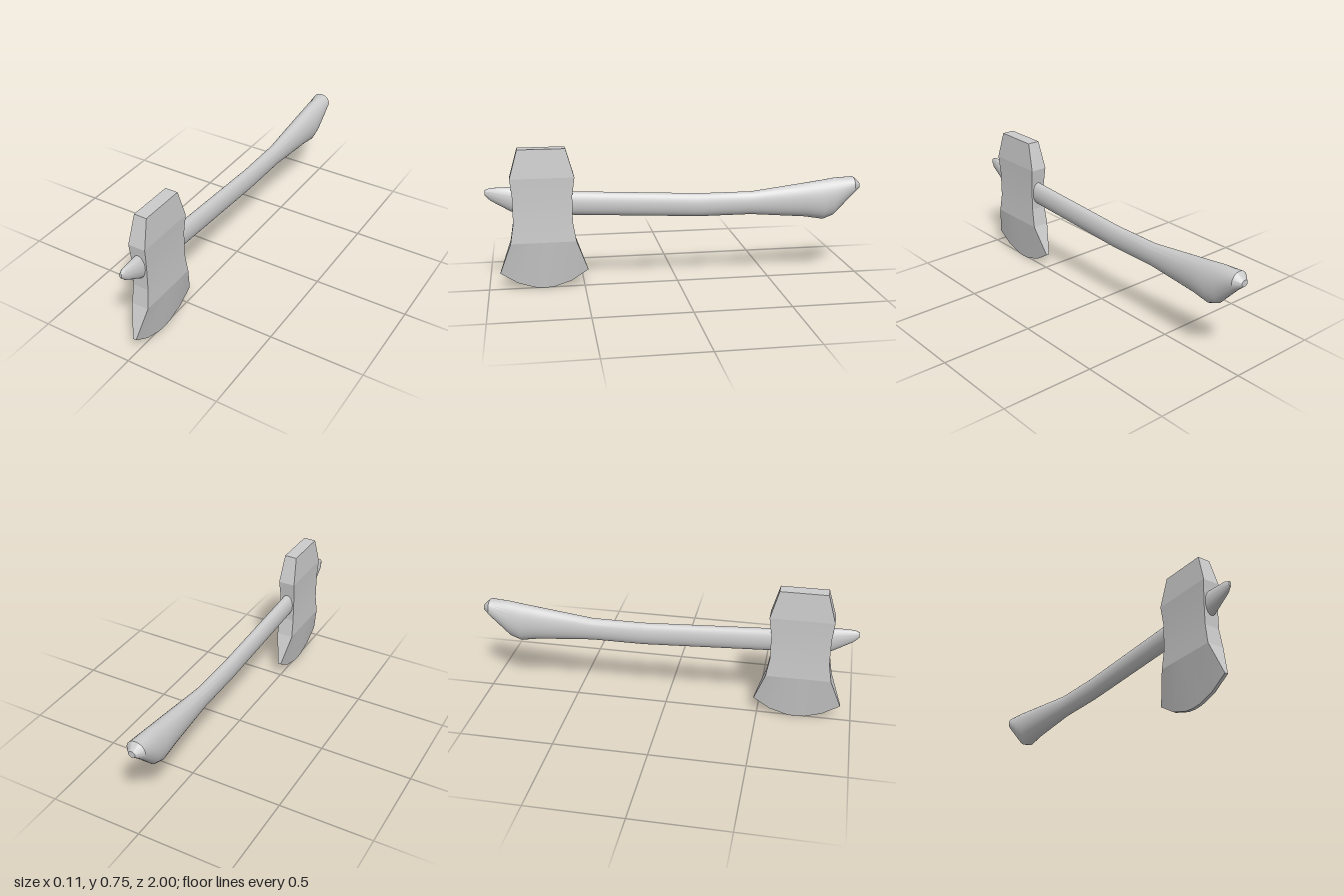
import * as THREE from 'three';
import { toCreasedNormals } from 'three/addons/utils/BufferGeometryUtils.js';

const material = new THREE.MeshStandardMaterial({ color: 0xcccccc });

// Skins closed loops of equal point count, capping both ends with fans.
function loft(loops) {
  const n = loops[0].length, pos = loops.flat(2), index = [];
  for (let r = 0; r < loops.length - 1; r++) {
    for (let i = 0; i < n; i++) {
      const a = r * n + i, b = r * n + (i + 1) % n;
      index.push(a, a + n, b, b, a + n, b + n);
    }
  }
  const last = (loops.length - 1) * n;
  for (let i = 1; i < n - 1; i++) {
    index.push(0, i, i + 1, last, last + i + 1, last + i);
  }
  const geo = new THREE.BufferGeometry();
  geo.setAttribute('position', new THREE.Float32BufferAttribute(pos, 3));
  geo.setIndex(index);
  return geo;
}

// Handle: elliptical sections [z, bottom, top, half width], front to back
function handleGeometry() {
  const sections = [
    [1.0, 0.51, 0.537, 0.007], [0.973, 0.482, 0.548, 0.019], [0.87, 0.42, 0.55, 0.034],
    [0.55, 0.39, 0.515, 0.034], [-0.12, 0.355, 0.48, 0.034], [-0.4, 0.355, 0.48, 0.036],
    [-0.7, 0.33, 0.517, 0.053], [-0.8, 0.312, 0.53, 0.057], [-0.86, 0.335, 0.539, 0.055],
    [-0.965, 0.448, 0.543, 0.051], [-1.0, 0.477, 0.511, 0.019],
  ];
  const sides = 32;
  const loops = sections.map(([z, y0, y1, w]) => Array.from({ length: sides }, (_, i) => {
    const a = (i / sides) * Math.PI * 2;
    return [Math.cos(a) * w, (y0 + y1) / 2 + Math.sin(a) * (y1 - y0) / 2, z];
  }));
  return toCreasedNormals(loft(loops), 0.45);
}

// Head: rows across the body, then a curved cutting edge
function headGeometry() {
  // [y, back z, front z, half thickness]
  const rows = [
    [0.747, 0.585, 0.83, 0.034], [0.598, 0.543, 0.873, 0.046], [0.5, 0.557, 0.863, 0.042],
    [0.36, 0.557, 0.863, 0.042], [0.257, 0.54, 0.88, 0.046],
  ];
  const edge = [[0.48, 0.09], [0.57, 0.033], [0.662, 0.004], [0.71, 0], [0.758, 0.004], [0.85, 0.033], [0.94, 0.09]];
  const n = edge.length;
  // Each loop runs along the right face from back to front, then returns on the left
  const ring = (points, w) => [
    ...points.map(([z, y]) => [-w, y, z]),
    ...[...points].reverse().map(([z, y]) => [w, y, z]),
  ];
  const loops = rows.map(([y, z0, z1, w]) =>
    ring(edge.map((_, i) => [z0 + (z1 - z0) * i / (n - 1), y]), w));
  loops.push(ring(edge, 0.009));
  const geo = loft(loops.slice().reverse().map((l) => l.slice().reverse()));
  // Replace the fan over the curved edge with a strip of quads
  const index = Array.from(geo.index.array), m = 2 * n;
  const body = index.slice(0, (loops.length - 1) * m * 6);
  const topCap = index.slice(body.length).filter((_, k) => k % 6 >= 3);
  for (let i = 0; i < n - 1; i++) {
    const j = m - 1 - i;
    body.push(i, i + 1, j, i + 1, j - 1, j);
  }
  geo.setIndex([...body, ...topCap]);
  return toCreasedNormals(geo, 0.12);
}

export function createModel() {
  const group = new THREE.Group();
  group.name = 'axe';
  const add = (name, geometry) => {
    const mesh = new THREE.Mesh(geometry, material);
    mesh.name = name;
    group.add(mesh);
  };
  add('handle', handleGeometry());
  add('axeHead', orient(headGeometry()));
  orient(group.children[0].geometry);
  return group;
}

// Turns the faces outward if the enclosed volume comes out negative
function orient(geo) {
  const p = geo.attributes.position, [a, b, c] = [0, 1, 2].map(() => new THREE.Vector3());
  let volume = 0;
  for (let i = 0; i < p.count; i += 3) {
    a.fromBufferAttribute(p, i);
    b.fromBufferAttribute(p, i + 1);
    c.fromBufferAttribute(p, i + 2);
    volume += a.dot(b.cross(c));
  }
  if (volume < 0) {
    for (const attr of Object.values(geo.attributes)) {
      const flip = attr === geo.attributes.normal ? -1 : 1;
      for (let i = 0; i < attr.count; i += 3) {
        a.fromBufferAttribute(attr, i + 1);
        b.fromBufferAttribute(attr, i + 2);
        attr.setXYZ(i + 1, b.x, b.y, b.z);
        attr.setXYZ(i + 2, a.x, a.y, a.z);
      }
      if (flip < 0) for (let i = 0; i < attr.array.length; i++) attr.array[i] *= -1;
    }
  }
  return geo;
}
